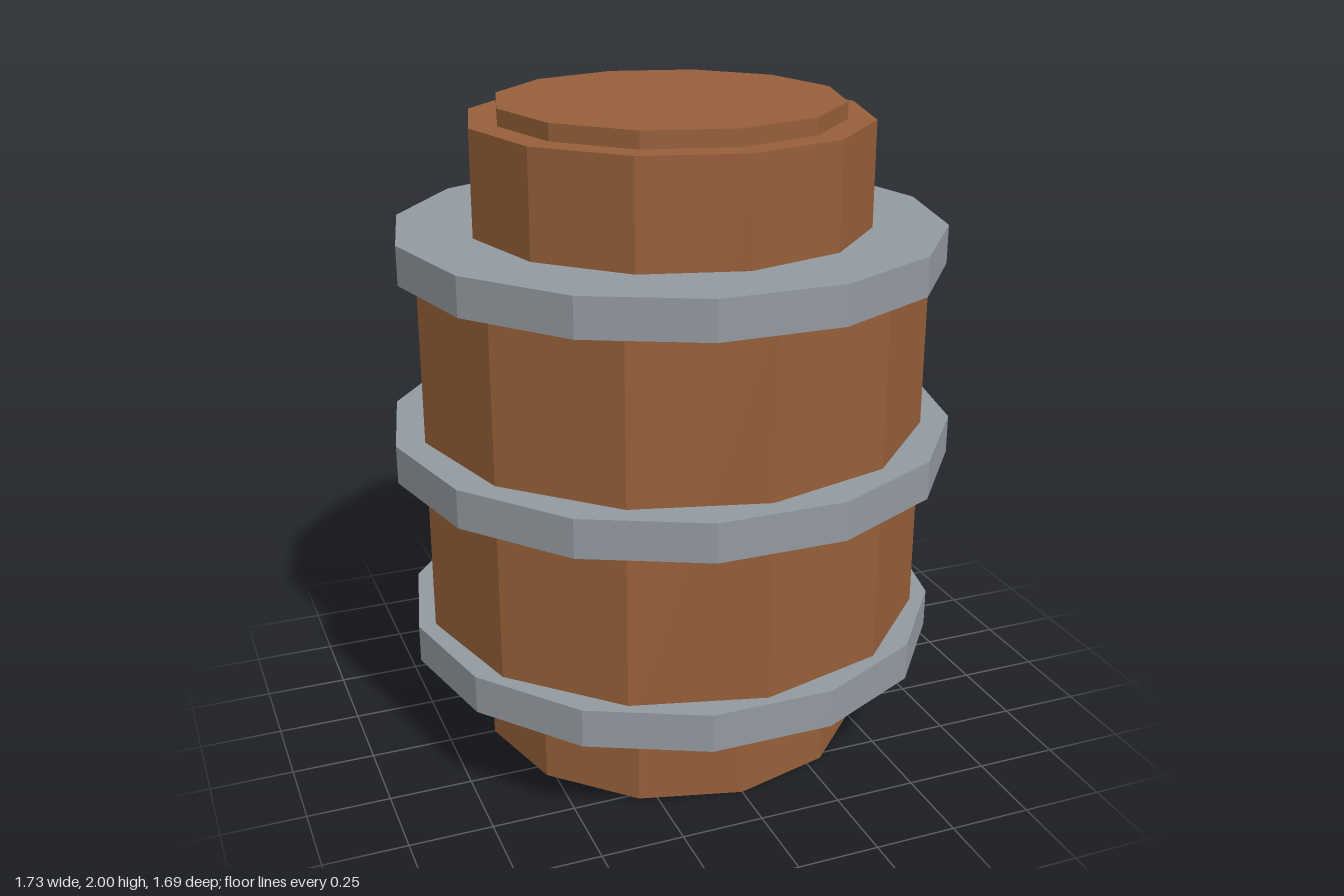
import * as THREE from 'three';

export function createModel() {
  const model = new THREE.Group();
  model.name = 'barrel';

  const wood = new THREE.MeshStandardMaterial({ color: 0x965f39, flatShading: true });
  wood.name = 'brown wood';
  const metal = new THREE.MeshStandardMaterial({ color: 0x92999f, flatShading: true });
  metal.name = 'grey metal';

  // Upright prism between two heights, with a corner on the x axis
  function prism(name, radius, bottom, top, sides, material) {
    const geometry = new THREE.CylinderGeometry(radius, radius, top - bottom, sides, 1, false, Math.PI / 2);
    const mesh = new THREE.Mesh(geometry, material);
    mesh.name = name;
    mesh.position.y = (bottom + top) / 2;
    model.add(mesh);
  }

  // Wooden core, wide body and lid
  prism('core', 0.605, 0, 1.95, 12, wood);
  prism('body', 0.777, 0.36, 1.58, 12, wood);
  prism('lid', 0.52, 1.94, 2, 12, wood);

  // Metal hoops
  prism('lowerHoop', 0.83, 0.307, 0.424, 14, metal);
  prism('middleHoop', 0.865, 0.912, 1.029, 14, metal);
  prism('upperHoop', 0.83, 1.517, 1.634, 14, metal);

  return model;
}
